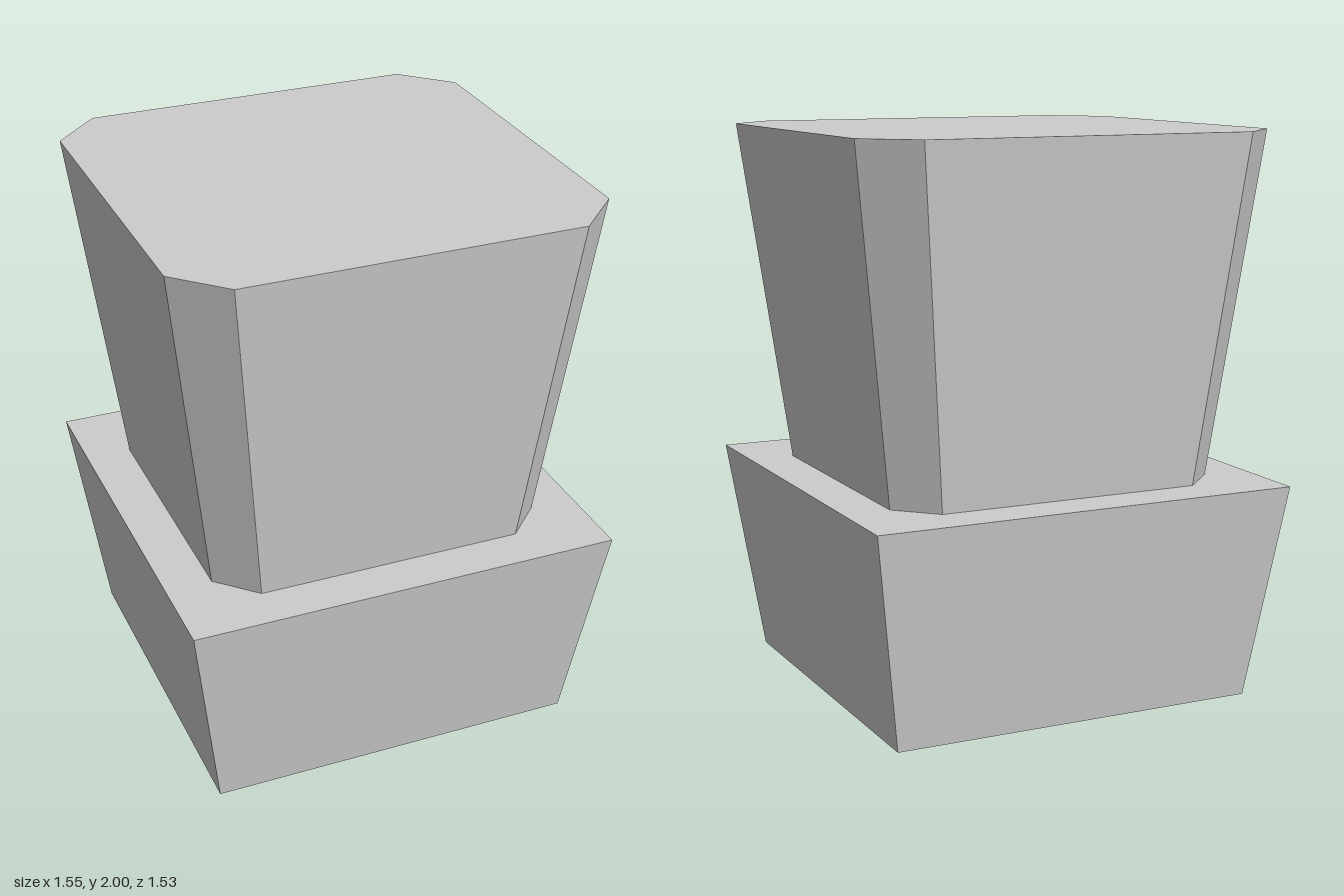
import * as THREE from 'three';

// Horizontal outline, counter-clockwise seen from above; cut > 0 chamfers the corners
function outline(hx, hz, cut) {
  if (!cut) return [[hx, hz], [hx, -hz], [-hx, -hz], [-hx, hz]];
  const ix = hx - cut, iz = hz - cut;
  return [[hx, iz], [hx, -iz], [ix, -hz], [-ix, -hz], [-hx, -iz], [-hx, iz], [-ix, hz], [ix, hz]];
}

// Closed flat-faced solid between two outlines
function taperedBlock(bottom, y0, top, y1) {
  const b = bottom.map(([x, z]) => [x, y0, z]);
  const t = top.map(([x, z]) => [x, y1, z]);
  const n = b.length, pos = [];
  for (let i = 0; i < n; i++) {
    const j = (i + 1) % n;
    pos.push(...b[i], ...b[j], ...t[j], ...b[i], ...t[j], ...t[i]);
  }
  for (let i = 1; i < n - 1; i++) {
    pos.push(...t[0], ...t[i], ...t[i + 1], ...b[0], ...b[i + 1], ...b[i]);
  }
  const geo = new THREE.BufferGeometry();
  geo.setAttribute('position', new THREE.Float32BufferAttribute(pos, 3));
  geo.computeVertexNormals();
  return geo;
}

export function createModel() {
  const group = new THREE.Group();
  group.name = 'pedestalBlock';
  const grey = new THREE.MeshStandardMaterial({ color: 0xcccccc });
  grey.name = 'light grey';

  const add = (name, geo) => {
    const mesh = new THREE.Mesh(geo, grey);
    mesh.name = name;
    group.add(mesh);
  };

  // Wide base, flaring upward
  add('base', taperedBlock(outline(0.668, 0.656, 0), 0, outline(0.775, 0.763, 0), 0.772));
  // Upper block with chamfered corners, flaring upward
  add('upperBlock', taperedBlock(outline(0.61, 0.6, 0.132), 0.772, outline(0.763, 0.746, 0.166), 2));

  return group;
}
